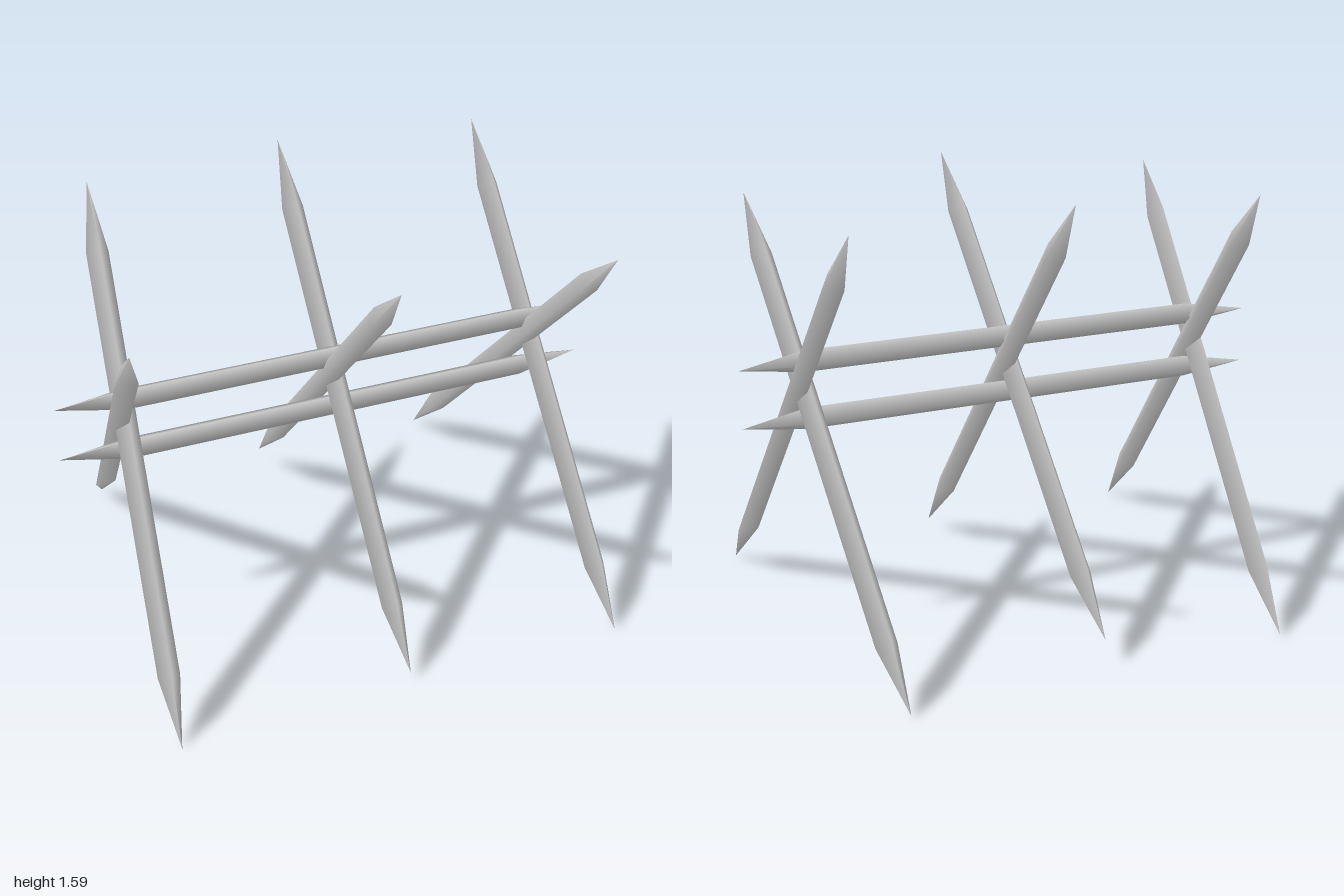
import * as THREE from 'three';

const RADIUS = 0.046;
const material = new THREE.MeshStandardMaterial({ color: 0xcccccc });

// Three-sided pole sharpened at both ends; its ridge points towards `ridge`
function pole(name, from, to, ridge, taper) {
  const a = new THREE.Vector3(...from);
  const b = new THREE.Vector3(...to);
  const half = a.distanceTo(b) / 2;
  const profile = [
    [0, -half],
    [RADIUS, -half + taper],
    [RADIUS, half - taper],
    [0, half],
  ].map(([r, y]) => new THREE.Vector2(r, y));
  const mesh = new THREE.Mesh(new THREE.LatheGeometry(profile, 3), material);
  mesh.name = name;

  const yAxis = b.clone().sub(a).normalize();
  const xAxis = yAxis.clone().cross(new THREE.Vector3(...ridge)).normalize();
  const zAxis = xAxis.clone().cross(yAxis);
  mesh.quaternion.setFromRotationMatrix(new THREE.Matrix4().makeBasis(xAxis, yAxis, zAxis));
  mesh.position.copy(a).add(b).multiplyScalar(0.5);
  return mesh;
}

export function createModel() {
  const model = new THREE.Group();
  model.name = 'stakeBarricade';

  // Two horizontal rails, flat side to the front
  for (const [name, y] of [['lowerRail', 0.793], ['upperRail', 1.003]]) {
    model.add(pole(name, [-1, y, 0.03], [1, y, 0.03], [0, 0, -1], 0.24));
  }

  // Three crossed pairs: each stake runs from its foot to its top
  const pairs = [
    { name: 'right', back: [[-0.81, 0.005, 0.745], [-0.71, 1.565, -0.5]], front: [[-0.72, 0.015, -0.75], [-0.84, 1.51, 0.56]] },
    { name: 'middle', back: [[0.055, 0.04, 0.715], [0.005, 1.595, -0.52]], front: [[-0.05, 0.1, -0.68], [0.008, 1.59, 0.635]] },
    { name: 'left', back: [[0.872, 0.01, 0.745], [0.77, 1.56, -0.5]], front: [[0.693, 0.015, -0.75], [0.812, 1.51, 0.56]] },
  ];
  for (const { name, back, front } of pairs) {
    const pair = new THREE.Group();
    pair.name = name + 'StakePair';
    pair.add(pole('backLeaningStake', ...back, [0, 0.63, 0.78], 0.25));
    pair.add(pole('frontLeaningStake', ...front, [0, 0.66, -0.75], 0.25));
    model.add(pair);
  }
  return model;
}
